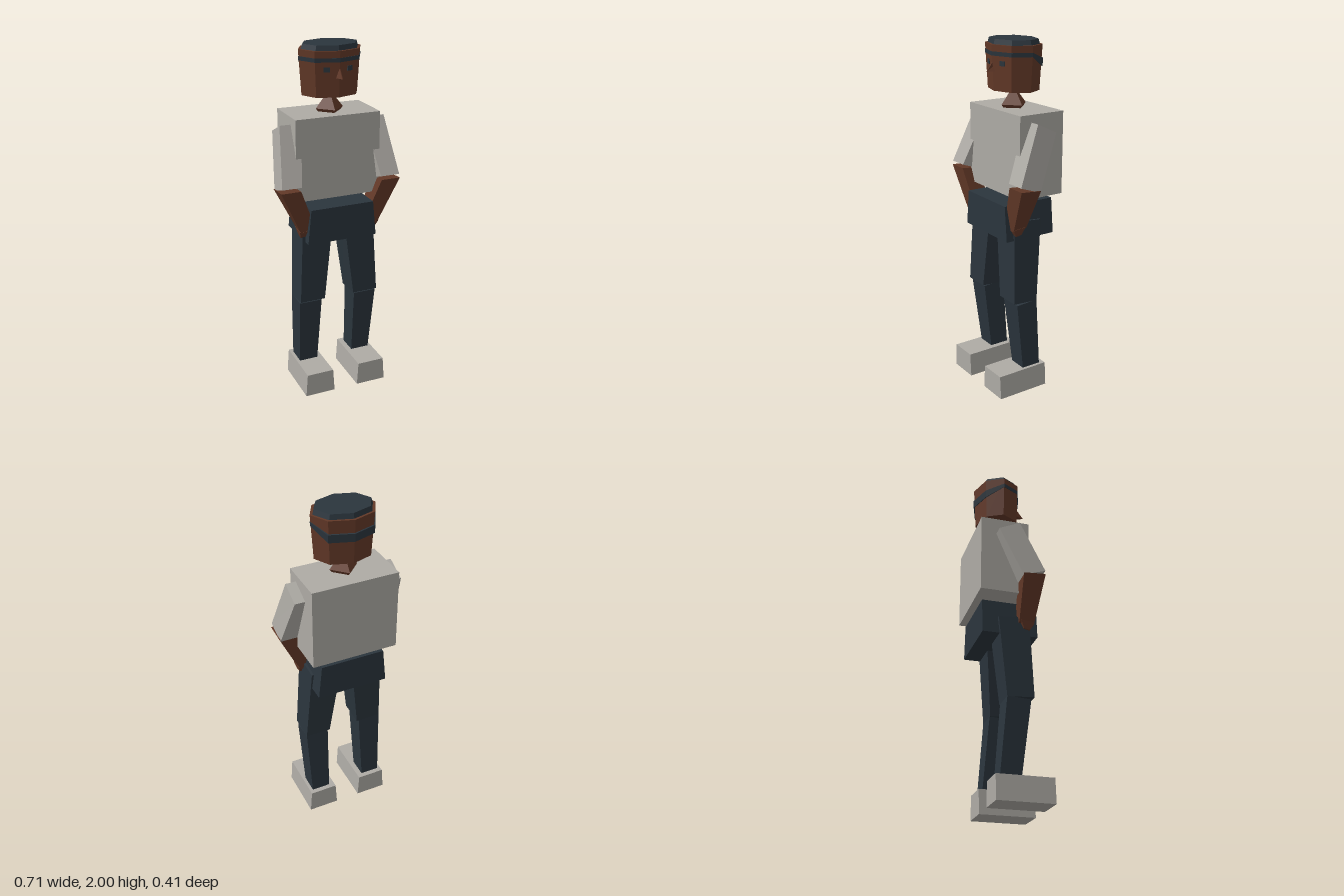
import * as THREE from 'three';

const mat = (name, color) => {
  const m = new THREE.MeshStandardMaterial({ color });
  m.name = name;
  return m;
};

// Four-sided loft between two sections. Each section is [xMin, xMax, zBack, zFront, yBack, yFront].
function block(bottom, top) {
  const g = new THREE.BoxGeometry(1, 1, 1);
  const p = g.attributes.position;
  for (let i = 0; i < p.count; i++) {
    const s = p.getY(i) > 0 ? top : bottom;
    const front = p.getZ(i) > 0;
    p.setXYZ(i, p.getX(i) > 0 ? s[1] : s[0], front ? s[5] : s[4], front ? s[3] : s[2]);
  }
  return faceted(g);
}

// Mirror a geometry in x, swapping two corners of each triangle to keep it facing out
function mirrored(geometry) {
  const g = geometry.clone();
  const p = g.attributes.position;
  for (let i = 0; i < p.count; i++) p.setX(i, -p.getX(i));
  for (let i = 0; i < p.count; i += 3) {
    const a = new THREE.Vector3().fromBufferAttribute(p, i + 1);
    const b = new THREE.Vector3().fromBufferAttribute(p, i + 2);
    p.setXYZ(i + 1, b.x, b.y, b.z);
    p.setXYZ(i + 2, a.x, a.y, a.z);
  }
  g.computeVertexNormals();
  return g;
}

// Tapered ring standing between y0 and y1, with corners on the axes
function frustum(rTop, rBottom, y0, y1, sides, zScale) {
  const g = new THREE.CylinderGeometry(rTop, rBottom, y1 - y0, sides);
  g.scale(1, 1, zScale);
  g.translate(0, (y0 + y1) / 2, 0);
  return g;
}

function faceted(geometry) {
  const g = geometry.toNonIndexed();
  g.computeVertexNormals();
  return g;
}

export function createModel() {
  const shirt = mat('light grey cloth', 0xaeaba5);
  const skin = mat('brown skin', 0x623827);
  const navy = mat('dark navy', 0x2b353d);

  const model = new THREE.Group();
  model.name = 'figure';
  const add = (name, geometry, material, parent = model) => {
    const mesh = new THREE.Mesh(geometry, material);
    mesh.name = name;
    parent.add(mesh);
    return mesh;
  };

  // Body
  add('torso', block([-0.245, 0.25, -0.203, 0.078, 1.167, 1.167], [-0.245, 0.25, -0.203, 0.078, 1.628, 1.628]), shirt);
  add('hips', block([-0.202, 0.21, -0.178, 0.135, 0.93, 0.93], [-0.182, 0.19, -0.178, 0.135, 1.13, 1.13]), navy);

  // Limbs, shaped on the left (+x) and mirrored to the right
  const limbs = [
    ['UpperArm', block([0.235, 0.348, 0.012, 0.138, 1.23, 1.272], [0.185, 0.308, -0.115, 0.005, 1.53, 1.587]), shirt],
    ['Forearm', block([0.14, 0.232, 0.022, 0.105, 1.0, 0.99], [0.24, 0.353, 0.013, 0.138, 1.24, 1.25]), skin],
    ['Hand', block([0.195, 0.228, 0.05, 0.085, 0.965, 0.958], [0.16, 0.24, 0.03, 0.108, 1.01, 1.0]), skin],
    ['Thigh', block([0.09, 0.238, -0.05, 0.1, 0.553, 0.562], [0.033, 0.213, -0.09, 0.085, 1.025, 1.04]), navy],
    ['Shin', block([0.113, 0.223, -0.085, 0.03, 0.13, 0.13], [0.103, 0.238, -0.05, 0.082, 0.556, 0.548]), navy],
    ['Shoe', block([0.073, 0.252, -0.113, 0.202, 0, 0], [0.082, 0.242, -0.113, 0.202, 0.137, 0.137]), shirt],
  ];
  for (const [name, geometry, material] of limbs) {
    add('left' + name, geometry, material);
    add('right' + name, mirrored(geometry), material);
  }

  // Neck: a four-sided point over a short collar
  const neck = new THREE.Group();
  neck.name = 'neck';
  neck.position.set(0.003, 0, -0.05);
  add('neckPoint', faceted(frustum(0.004, 0.08, 1.645, 1.74, 4, 1)), skin, neck);
  add('neckBase', faceted(frustum(0.08, 0.066, 1.626, 1.645, 4, 1)), skin, neck);
  model.add(neck);

  // Head
  const head = new THREE.Group();
  head.name = 'head';
  head.position.set(0.004, 0, -0.047);
  model.add(head);
  const zScale = 0.78;
  const radiusAt = (y) => 0.164 + (0.181 - 0.164) * (y - 1.727) / 0.246;
  add('skull', faceted(frustum(0.181, 0.164, 1.727, 1.973, 8, zScale)), skin, head);
  add('hair', faceted(frustum(0.157, 0.167, 1.97, 2.0, 8, 0.765)), navy, head);

  // Headband, level in front and dropping and widening behind the ears
  const band = frustum(1, 1, -0.5, 0.5, 8, 1);
  const p = band.attributes.position;
  for (let i = 0; i < p.count; i++) {
    const drop = Math.min(1, Math.max(0, -p.getZ(i)) / 0.7);
    const y = p.getY(i) > 0 ? 1.937 - 0.037 * drop : 1.915 - 0.06 * drop;
    const r = radiusAt(y) + 0.003 + 0.006 * drop;
    p.setXYZ(i, p.getX(i) * r, y, p.getZ(i) * r * zScale);
  }
  add('headband', faceted(band), navy, head);

  // Eyes lie on the two front facets
  const eyeY = 1.877;
  const a = Math.PI / 8;
  const r = radiusAt(eyeY) * Math.cos(a);
  const tilt = Math.atan2(Math.sin(a), Math.cos(a) / zScale);
  for (const side of [1, -1]) {
    const eye = add(side > 0 ? 'leftEye' : 'rightEye', new THREE.BoxGeometry(0.034, 0.026, 0.008), navy, head);
    eye.position.set(side * (r * Math.sin(a) + 0.004), eyeY, r * Math.cos(a) * zScale - 0.001);
    eye.rotation.y = side * tilt;
  }

  // Nose: a small wedge with its tip low and forward
  const nose = block([-0.027, 0.027, 0.1, 0.172, 1.83, 1.832], [-0.002, 0.002, 0.1, 0.137, 1.88, 1.88]);
  const n = nose.attributes.position;
  for (let i = 0; i < n.count; i++) if (n.getZ(i) > 0.15) n.setX(i, n.getX(i) * 0.08);
  nose.computeVertexNormals();
  add('nose', nose, skin, head);

  return model;
}
